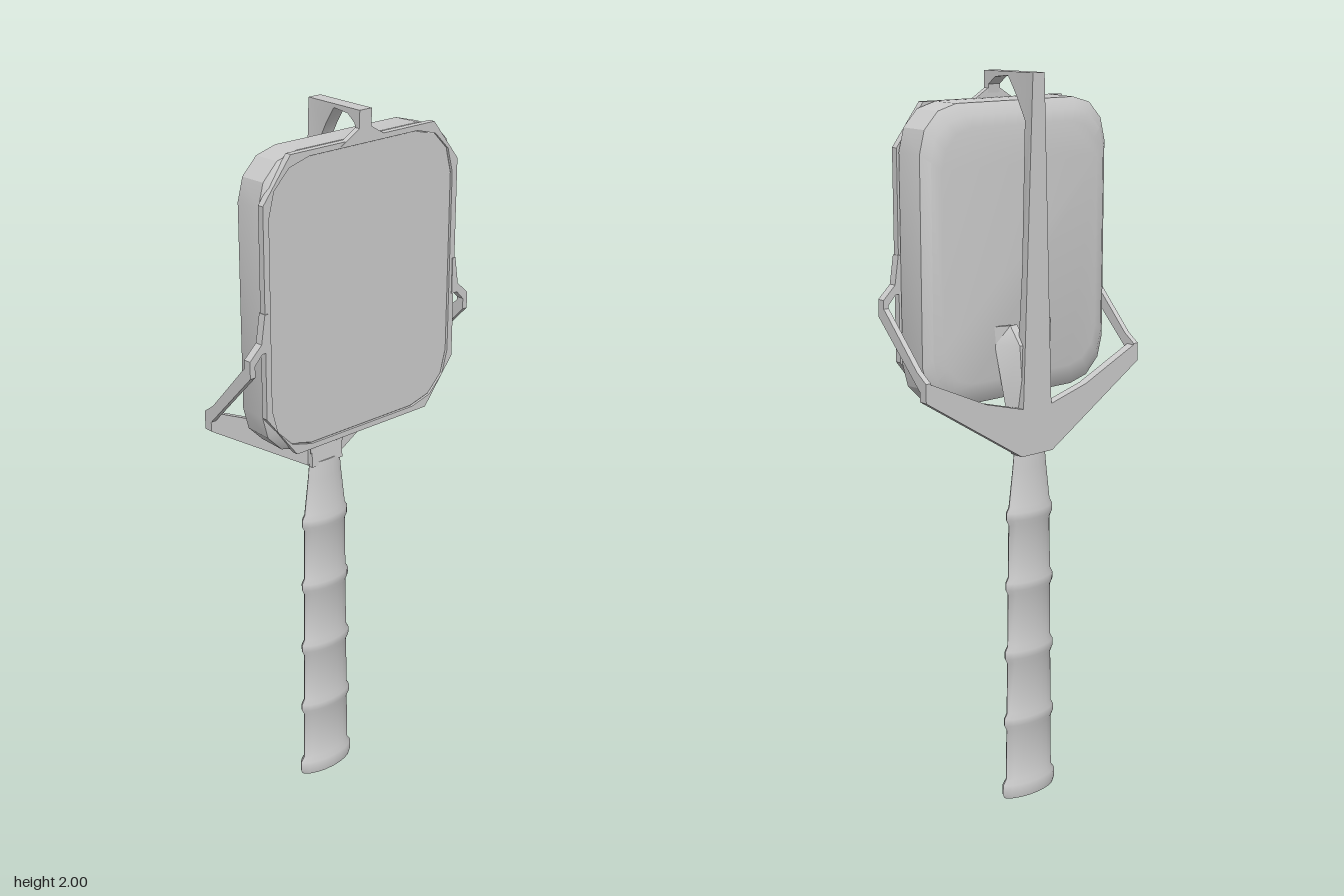
import * as THREE from 'three';
import { toCreasedNormals } from 'three/addons/utils/BufferGeometryUtils.js';

const material = new THREE.MeshStandardMaterial({ color: 0xcccccc });

function part(group, name, geometry, crease = 0.5) {
  const mesh = new THREE.Mesh(toCreasedNormals(geometry, crease), material);
  mesh.name = name;
  group.add(mesh);
  return mesh;
}

// Closed skin through equal-length loops of [x, y, z] points, capped at both ends
function loft(loops) {
  const n = loops[0].length, pos = loops.flat(2), idx = [];
  for (let k = 0; k < loops.length - 1; k++) {
    for (let i = 0; i < n; i++) {
      const a = k * n + i, b = k * n + (i + 1) % n;
      idx.push(a, a + n, b, b, a + n, b + n);
    }
  }
  const last = (loops.length - 1) * n;
  for (let i = 1; i < n - 1; i++) {
    idx.push(0, i, i + 1, last, last + i + 1, last + i);
  }
  const g = new THREE.BufferGeometry();
  g.setAttribute('position', new THREE.Float32BufferAttribute(pos, 3));
  g.setIndex(idx);
  return g;
}

const shapeOf = (pts) => new THREE.Shape(pts.map(([u, v]) => new THREE.Vector2(u, v)));

// Outline in (x, y), extruded from z0 to z1
function slabXY(pts, z0, z1) {
  return new THREE.ExtrudeGeometry(shapeOf(pts), { depth: z1 - z0, bevelEnabled: false }).translate(0, 0, z0);
}

// Outline in (z, y), extruded from x0 to x1
function slabZY(shape, x0, x1) {
  return new THREE.ExtrudeGeometry(shape, { depth: x1 - x0, bevelEnabled: false })
    .rotateY(-Math.PI / 2).translate(x1, 0, 0);
}

// Rounded rectangle as [z, y] points
function roundedRect(hz, hy, r, cy, steps = 3) {
  const pts = [];
  [[1, 1], [-1, 1], [-1, -1], [1, -1]].forEach(([sz, sy], q) => {
    for (let i = 0; i <= steps; i++) {
      const t = (q + i / steps) * Math.PI / 2;
      pts.push([sz * (hz - r) + r * Math.cos(t), cy + sy * (hy - r) + r * Math.sin(t)]);
    }
  });
  return pts;
}

export function createModel() {
  const model = new THREE.Group();
  model.name = 'handheldMirrorMount';

  // Flattened handle with raised grip rings: [y, half depth, half width]
  const profile = [[0, 0.033, 0.092], [0.012, 0.035, 0.097], [0.04, 0.035, 0.096], [0.055, 0.028, 0.085]];
  for (const y of [0.23, 0.43, 0.63, 0.83]) {
    const w = 0.086 - 0.014 * y;
    profile.push([y - 0.025, 0.027, w], [y - 0.01, 0.032, w + 0.008],
      [y + 0.01, 0.032, w + 0.008], [y + 0.025, 0.027, w - 0.001]);
  }
  profile.push([0.96, 0.02, 0.06], [1.01, 0.016, 0.055]);
  const handleLoops = profile.map(([y, a, b]) => Array.from({ length: 20 }, (_, i) => {
    const t = i / 20 * Math.PI * 2, c = Math.cos(t);
    return [-0.063 + a * c * Math.abs(c) ** 0.25, y, b * Math.sin(t)];
  }));
  part(model, 'handle', loft(handleLoops), 0.7);

  // Chunky rounded body: [x, half width, half height, corner radius]
  const sections = [[-0.035, 0.27, 0.33, 0.1], [-0.028, 0.3, 0.36, 0.11], [-0.01, 0.322, 0.39, 0.12],
    [0.07, 0.324, 0.392, 0.12], [0.087, 0.308, 0.376, 0.13]];
  const bodyLoops = sections.map(([x, hz, hy, r]) =>
    roundedRect(hz, hy, r, 1.538).map(([z, y]) => [x, y, z]));
  part(model, 'body', loft(bodyLoops), 0.4);

  // Thin eight-sided lip round the front face
  const lip = shapeOf([[0.24, 1.93], [0.328, 1.82], [0.328, 1.27], [0.23, 1.145],
    [-0.23, 1.145], [-0.328, 1.27], [-0.328, 1.82], [-0.24, 1.93]]);
  lip.holes.push(new THREE.Path(roundedRect(0.31, 0.378, 0.13, 1.538)
    .map(([z, y]) => new THREE.Vector2(z, y))));
  part(model, 'frontLip', slabZY(lip, 0.074, 0.092));

  // Spine up the back and over the top, narrowing in z as it rises
  const spine = slabXY([[-0.095, 1], [-0.095, 2], [0.094, 2], [0.094, 1.92], [0.08, 1.92], [0.076, 1.965],
    [0.05, 1.985], [0, 1.99], [-0.03, 1.945], [-0.065, 1.88], [-0.072, 1.5], [-0.065, 1.2], [-0.05, 1]], -1, 1);
  const p = spine.attributes.position;
  for (let i = 0; i < p.count; i++) {
    const t = THREE.MathUtils.clamp((p.getY(i) - 1) / 0.88, 0, 1);
    p.setZ(i, p.getZ(i) * THREE.MathUtils.lerp(0.055, 0.02, t));
  }
  part(model, 'spine', spine);
  part(model, 'topClip', slabZY(shapeOf([[-0.08, 1.92], [0.08, 1.92], [0.02, 1.955], [-0.02, 1.955]]), 0.078, 0.093));

  // Side arms, mirrored front to back
  for (const s of [1, -1]) {
    const arm = new THREE.Group();
    arm.name = s > 0 ? 'frontArm' : 'rearArm';
    model.add(arm);
    const flip = (pts) => shapeOf(pts.map(([z, y]) => [s * z, y]));

    // Plate sweeping out from the handle
    part(arm, 'armPlate', slabZY(flip([[0, 1], [0.055, 1], [0.38, 1.2], [0.38, 1.25], [0.36, 1.245],
      [0.18, 1.165], [0.05, 1.13], [0, 1.2]]), -0.095, -0.07));

    // Sloping strip running forward past the body
    const z0 = s > 0 ? 0.364 : -0.38;
    part(arm, 'armStrip', slabXY([[-0.095, 1.2], [0.094, 1.395], [0.094, 1.44], [0.06, 1.405],
      [-0.06, 1.275], [-0.095, 1.25]], z0, z0 + 0.016));

    // Hook reaching in to the lip
    part(arm, 'armHook', slabZY(flip([[0.364, 1.395], [0.38, 1.395], [0.38, 1.44], [0.342, 1.475],
      [0.33, 1.55], [0.32, 1.55], [0.32, 1.45], [0.34, 1.45], [0.364, 1.425]]), 0.072, 0.094));

    // Rib joining the plate to the back of the body
    const rib = [[1.04, -0.08, -0.055, 0.045], [1.15, -0.085, -0.045, 0.062], [1.3, -0.085, -0.034, 0.085],
      [1.35, -0.05, -0.034, 0.09]].map(([y, x0, x1, z]) => [[x1, y, s * z - 0.012], [x1, y, s * z + 0.012],
      [x0, y, s * z * 0.5 + 0.012], [x0, y, s * z * 0.5 - 0.012]]);
    part(arm, 'rib', loft(rib));
  }
  return model;
}
